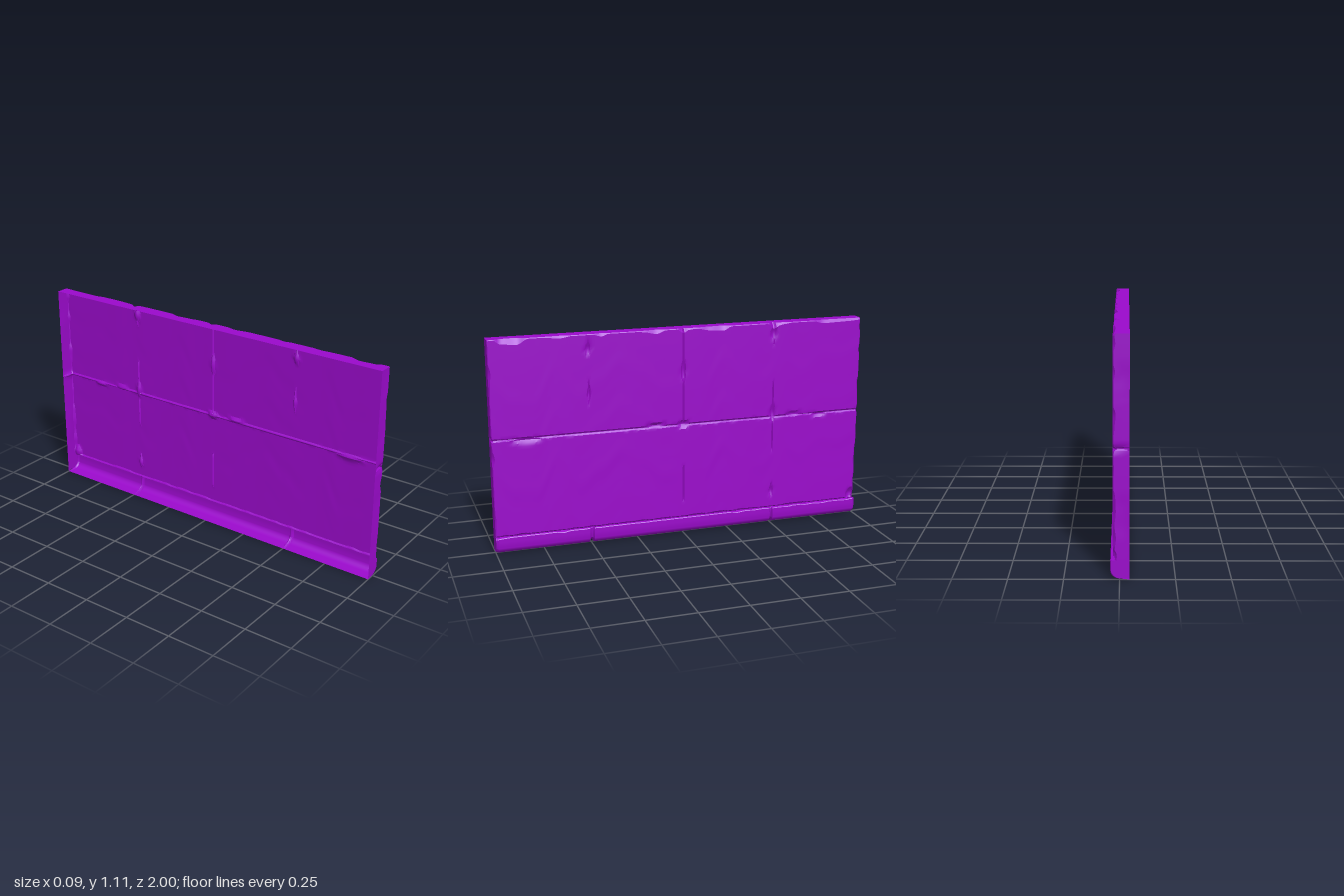
import * as THREE from 'three';
import { toCreasedNormals } from 'three/addons/utils/BufferGeometryUtils.js';

const BACK = -0.044, FACE = 0.031, TOP = 1.105, LEDGE = 0.089, JOINT = 0.598;
const material = new THREE.MeshStandardMaterial({ color: 0x9b0acc, side: THREE.DoubleSide });

// Smooth seeded value noise in 0..1
const hash = (n, s) => { const v = Math.sin(n * 127.1 + s * 311.7) * 43758.5453; return v - Math.floor(v); };
function noise(t, s) {
  const i = Math.floor(t), f = t - i, u = f * f * (3 - 2 * f);
  return hash(i, s) * (1 - u) + hash(i + 1, s) * u;
}
const bump = (d, r) => Math.max(0, 1 - (d / r) ** 2);
const chip = (t, s) => Math.max(0, noise(t, s) - 0.45);

// Grid stops: an even spacing refined around each joint
function stops(from, to, step, joints) {
  const list = [];
  const n = Math.round((to - from) / step);
  for (let i = 0; i <= n; i++) list.push(from + (to - from) * i / n);
  for (const j of joints) for (const d of [-0.009, -0.005, -0.002, 0, 0.002, 0.005, 0.009]) list.push(j + d);
  return list.sort((a, b) => a - b).filter((v, i, l) => i === 0 || v - l[i - 1] > 0.0006);
}
const zStops = stops(-1, 1, 0.0125, [-0.992, -0.5, 0, 0.5, 0.992]).filter(z => Math.abs(z) <= 1);

// Surface from a rule giving the point at row r and column c
function sheet(name, rows, cols, point, crease = 0.5) {
  const pos = [], index = [];
  for (let r = 0; r < rows; r++) for (let c = 0; c < cols; c++) pos.push(...point(r, c));
  for (let r = 0; r < rows - 1; r++) for (let c = 0; c < cols - 1; c++) {
    const a = r * cols + c, b = a + cols;
    index.push(a, b, a + 1, a + 1, b, b + 1);
  }
  const geometry = new THREE.BufferGeometry();
  geometry.setAttribute('position', new THREE.Float32BufferAttribute(pos, 3));
  geometry.setIndex(index);
  const mesh = new THREE.Mesh(toCreasedNormals(geometry, crease), material);
  mesh.name = name;
  return mesh;
}

// Open stretches of the upright joints: z, lower y, upper y
const cracks = [
  [0.5, 0.74, 0.87], [0.5, 1.0, 1.07], [0, 0.6, 1.1], [0, 0.17, 0.38],
  [-0.5, 0.98, 1.1], [-0.5, 0.6, 0.79], [-0.5, 0.4, 0.57], [-0.5, 0.14, 0.23],
];
// Broken spots: z, y, half width, half height, depth
const spots = [
  [0, 0.88, 0.014, 0.06, 0.014], [0, 0.6, 0.035, 0.02, 0.016], [0.5, 0.8, 0.01, 0.04, 0.012],
  [0.5, 1.03, 0.016, 0.03, 0.012], [-0.5, 1.05, 0.018, 0.04, 0.014], [-0.5, 0.62, 0.016, 0.05, 0.014],
  [-0.5, 0.18, 0.014, 0.03, 0.012], [0.82, 0.588, 0.09, 0.016, 0.012], [0.15, 0.605, 0.06, 0.013, 0.012],
  [-0.62, 0.603, 0.05, 0.013, 0.012], [-0.77, 0.592, 0.05, 0.014, 0.012], [-0.98, 0.11, 0.03, 0.04, 0.02],
];
const topChip = z => 0.004 + 0.05 * chip(z * 14, 3) + 0.012 * bump(Math.min(Math.abs(z), Math.abs(z + 0.5)), 0.02);
const endChip = (y, z) => 0.004 + 0.026 * chip(y * 16, z > 0 ? 5 : 8) + 0.008 * bump(y - JOINT, 0.012);

function faceX(y, z) {
  let dent = 0.007 * bump(y - JOINT, 0.005 + 0.004 * noise(z * 18, 1));
  dent = Math.max(dent, 0.007 * bump(y - LEDGE, 0.005 + 0.012 * chip(z * 22, 2)));
  for (const [cz, lo, hi] of cracks)
    if (y > lo && y < hi) dent = Math.max(dent, 0.008 * bump(z - cz, 0.004) * Math.min(1, (y - lo) * 40, (hi - y) * 40 + 0.2));
  for (const [cz, cy, w, h, d] of spots)
    dent = Math.max(dent, d * Math.max(0, 1 - ((z - cz) / w) ** 2 - ((y - cy) / h) ** 2));
  return FACE - dent - 0.0012 * noise(y * 13 + noise(z * 9, 6) * 3, 4) * noise(z * 11, 7);
}

// Wall point, with broken vertical edges at both ends
function wallPoint(y, z) {
  const c = endChip(y, z), s = Math.sign(z), a = Math.abs(z);
  const x = faceX(y, z);
  if (a > 0.9999) return [x - c, y, z];
  return [x, y, s * Math.min(a, 1 - c * 0.9)];
}

const yStops = [...stops(LEDGE, 1.06, 0.0162, [JOINT, LEDGE + 0.009]), TOP];
function wallGridPoint(r, c) {
  const z = zStops[c];
  const last = r === yStops.length - 1;
  return wallPoint(last ? TOP - topChip(z) : yStops[r], z);
}

// Base moulding section, from the back underside to the ledge
const moulding = [[BACK, 0], [0, 0.001]];
for (let i = 1; i <= 8; i++) {
  const a = i / 8 * Math.PI / 2;
  moulding.push([0.042 * Math.sin(a), 0.04 - 0.039 * Math.cos(a)]);
}
moulding.push([0.042, 0.065], [0.042, 0.085], [0.039, LEDGE], [0.024, LEDGE]);
function mouldingPoint(r, c) {
  const z = zStops[c];
  let [x, y] = moulding[r];
  const cut = Math.max(bump(z - 0.5, 0.012), bump(z + 0.5, 0.009), 0.3 * bump(1 - Math.abs(z), 0.01));
  if (r > 0 && r < moulding.length - 1) {
    x -= 0.014 * cut;
    if (y < 0.03) y += 0.012 * cut;
    if (y > 0.08) y -= 0.012 * chip(z * 20, 9);
  }
  return [x, y, z];
}

export function createModel() {
  const group = new THREE.Group();
  group.name = 'stoneWallPanel';
  const cols = zStops.length;

  // Front face with block joints, and the moulding along its foot
  group.add(sheet('wallFace', yStops.length, cols, wallGridPoint));
  group.add(sheet('baseMoulding', moulding.length, cols, mouldingPoint));

  // Top with a chipped front arris
  group.add(sheet('topEdge', 3, cols, (r, c) => {
    const z = zStops[c], front = wallGridPoint(yStops.length - 1, c);
    if (r === 0) return front;
    return r === 1 ? [front[0] - 0.7 * topChip(z), TOP, front[2]] : [BACK, TOP, z];
  }));

  // Ends span from the open back to the front outline
  for (const [name, c, s] of [['leftEnd', cols - 1, 1], ['rightEnd', 0, -1]]) {
    const outline = [];
    for (let r = 1; r < moulding.length; r++) outline.push(mouldingPoint(r, c));
    for (let r = 0; r < yStops.length; r++) outline.push(wallGridPoint(r, c));
    const edge = outline[outline.length - 1];
    outline.push([edge[0] - 0.7 * topChip(s), TOP, s]);
    group.add(sheet(name, outline.length, 3, (r, k) => {
      const [x, y] = outline[s > 0 ? r : outline.length - 1 - r];
      const dent = 0.01 * bump(y - JOINT, 0.012) + 0.008 * chip(y * 12, 11 + s) * (k === 1 ? 1 : 0);
      return [[x, (x + BACK) / 2, BACK][k], y, s * (1 - (k === 2 ? 0 : dent))];
    }));
  }
  return group;
}
